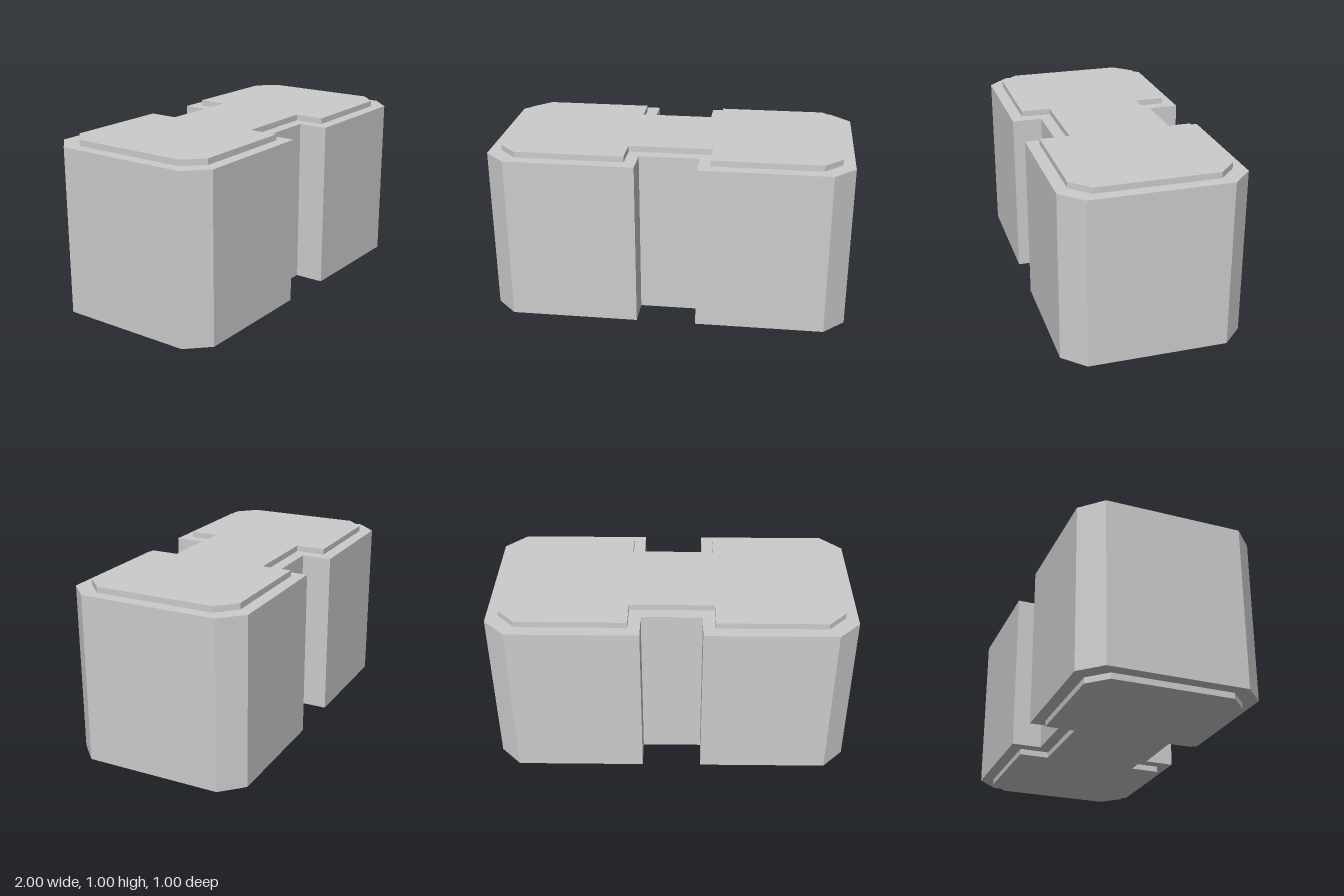
import * as THREE from 'three';

const material = new THREE.MeshStandardMaterial({ color: 0xcccccc, flatShading: true });

// Upright slab with chamfered corners and a square notch in the front and back
function notchedSlab(name, { halfX, halfZ, chamfer, notchX, notchZ }, bottom, top) {
  const quarter = [
    [halfX, halfZ - chamfer],
    [halfX - chamfer, halfZ],
    [notchX, halfZ],
    [notchX, notchZ],
  ];
  const mirrored = quarter.map(([x, z]) => [-x, z]).reverse();
  const half = [...quarter, ...mirrored];
  const outline = [...half, ...half.map(([x, z]) => [-x, -z])];

  const shape = new THREE.Shape(outline.map(([x, z]) => new THREE.Vector2(x, z)));
  const geometry = new THREE.ExtrudeGeometry(shape, { depth: top - bottom, bevelEnabled: false });
  geometry.rotateX(-Math.PI / 2);
  geometry.translate(0, bottom, 0);

  const mesh = new THREE.Mesh(geometry, material);
  mesh.name = name;
  return mesh;
}

export function createModel() {
  const group = new THREE.Group();
  group.name = 'notchedBlock';

  const bodyOutline = { halfX: 1, halfZ: 0.5, chamfer: 0.117, notchX: 0.167, notchZ: 0.333 };
  const panelOutline = { halfX: 0.933, halfZ: 0.433, chamfer: 0.1, notchX: 0.233, notchZ: 0.267 };
  const panelHeight = 0.033;

  // Main block with a thin inset panel above and below
  group.add(
    notchedSlab('body', bodyOutline, panelHeight, 1 - panelHeight),
    notchedSlab('topPanel', panelOutline, 1 - panelHeight, 1),
    notchedSlab('bottomPanel', panelOutline, 0, panelHeight),
  );
  return group;
}
